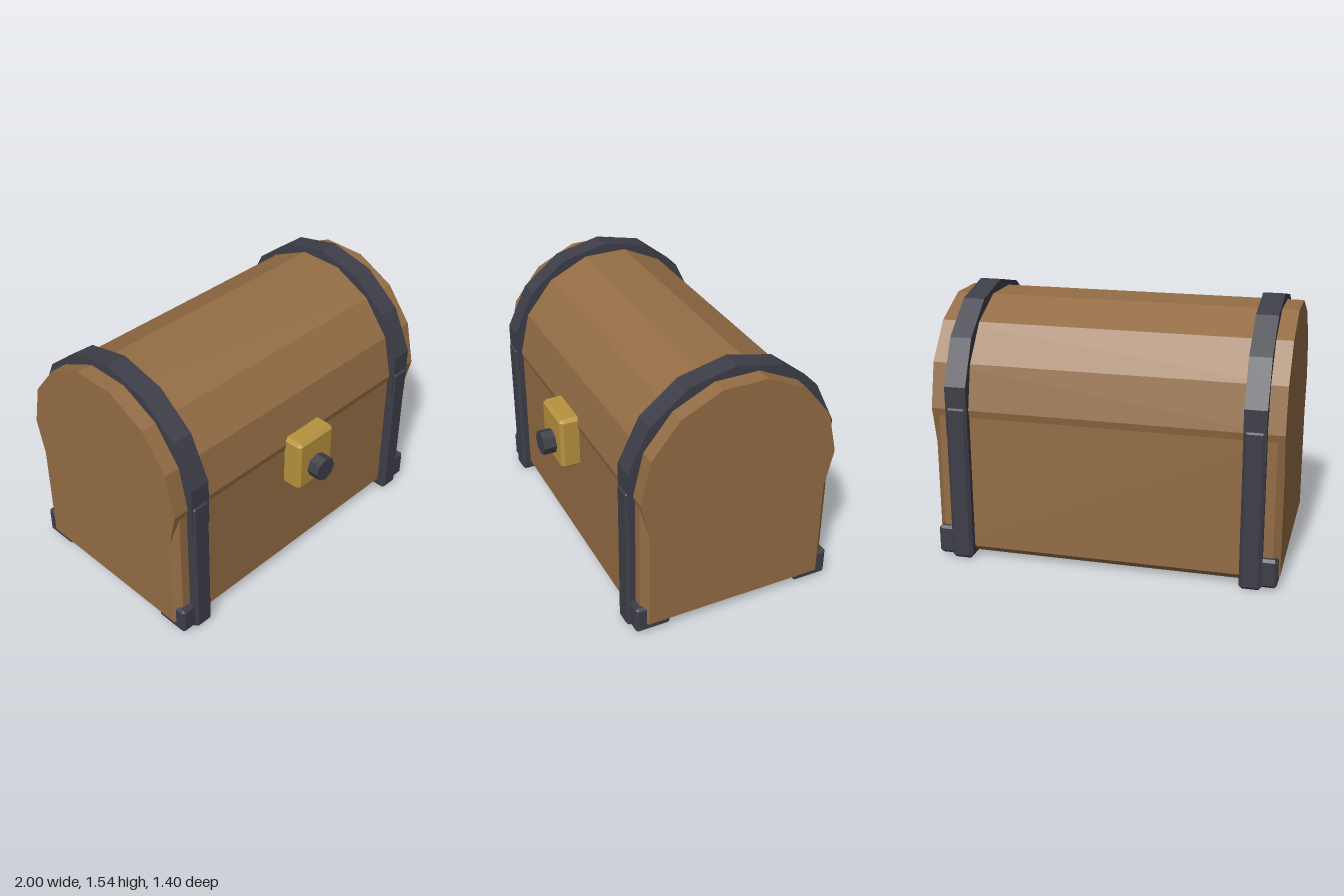
import * as THREE from 'three';
import { ConvexGeometry } from 'three/addons/geometries/ConvexGeometry.js';

const CZ = -0.068; // depth centre of the chest, set back to leave room for the knob
const LID_Y = 0.905; // axis height of the domed lid

// Box with chamfered edges, given by its min and max corners
function chamferBox(min, max, bevel) {
  const points = [];
  for (let i = 0; i < 8; i++) {
    const side = [i & 1, (i >> 1) & 1, (i >> 2) & 1];
    for (let face = 0; face < 3; face++) {
      const p = side.map((s, k) => {
        const inset = k === face ? 0 : bevel;
        return s ? max[k] - inset : min[k] + inset;
      });
      points.push(new THREE.Vector3(...p));
    }
  }
  return new ConvexGeometry(points);
}

// Fourteen-sided drum lying along x
function drum(radius, width, thetaStart) {
  return new THREE.CylinderGeometry(radius, radius, width, 14, 1, false, thetaStart).rotateZ(Math.PI / 2);
}

export function createModel() {
  const chest = new THREE.Group();
  chest.name = 'treasureChest';

  const material = (name, color) => {
    const m = new THREE.MeshStandardMaterial({ color, flatShading: true });
    m.name = name;
    return m;
  };
  const wood = material('wood', 0x946d45);
  const iron = material('dark iron', 0x3e3e49);
  const brass = material('brass', 0xb8933d);

  const add = (name, geometry, mat, x = 0, y = 0, z = 0) => {
    const mesh = new THREE.Mesh(geometry, mat);
    mesh.name = name;
    mesh.position.set(x, y, z);
    chest.add(mesh);
  };

  // Wooden body and domed lid
  add('body', chamferBox([-1, 0.03, -0.58], [1, 0.91, 0.58], 0.04), wood, 0, 0, CZ);
  add('lid', drum(0.59, 2, 0), wood, 0, LID_Y, CZ);

  for (const [side, s] of [['left', 1], ['right', -1]]) {
    // Iron bands over the lid and straps around the body
    add(side + 'LidBand', drum(0.636, 0.125, Math.PI / 14), iron, s * 0.843, LID_Y, CZ);
    add(side + 'BodyStrap', chamferBox([-0.063, 0.005, -0.63], [0.063, 0.93, 0.63], 0.018), iron, s * 0.843, 0, CZ);

    // Corner irons at the foot of the body
    for (const [end, e] of [['Front', 1], ['Back', -1]]) {
      add(side + end + 'Corner', chamferBox([-0.1, 0.02, -0.105], [0.1, 0.19, 0.105], 0.015),
        iron, s * 0.89, 0, CZ + e * 0.508);
    }
  }

  // Lock plate and its octagonal knob
  add('lockPlate', chamferBox([-0.145, 0.615, 0.4], [0.145, 0.947, 0.625], 0.02), brass);
  add('lockKnob', new THREE.CylinderGeometry(0.074, 0.074, 0.2, 8).rotateX(Math.PI / 2), iron, 0, 0.74, 0.6);

  return chest;
}
